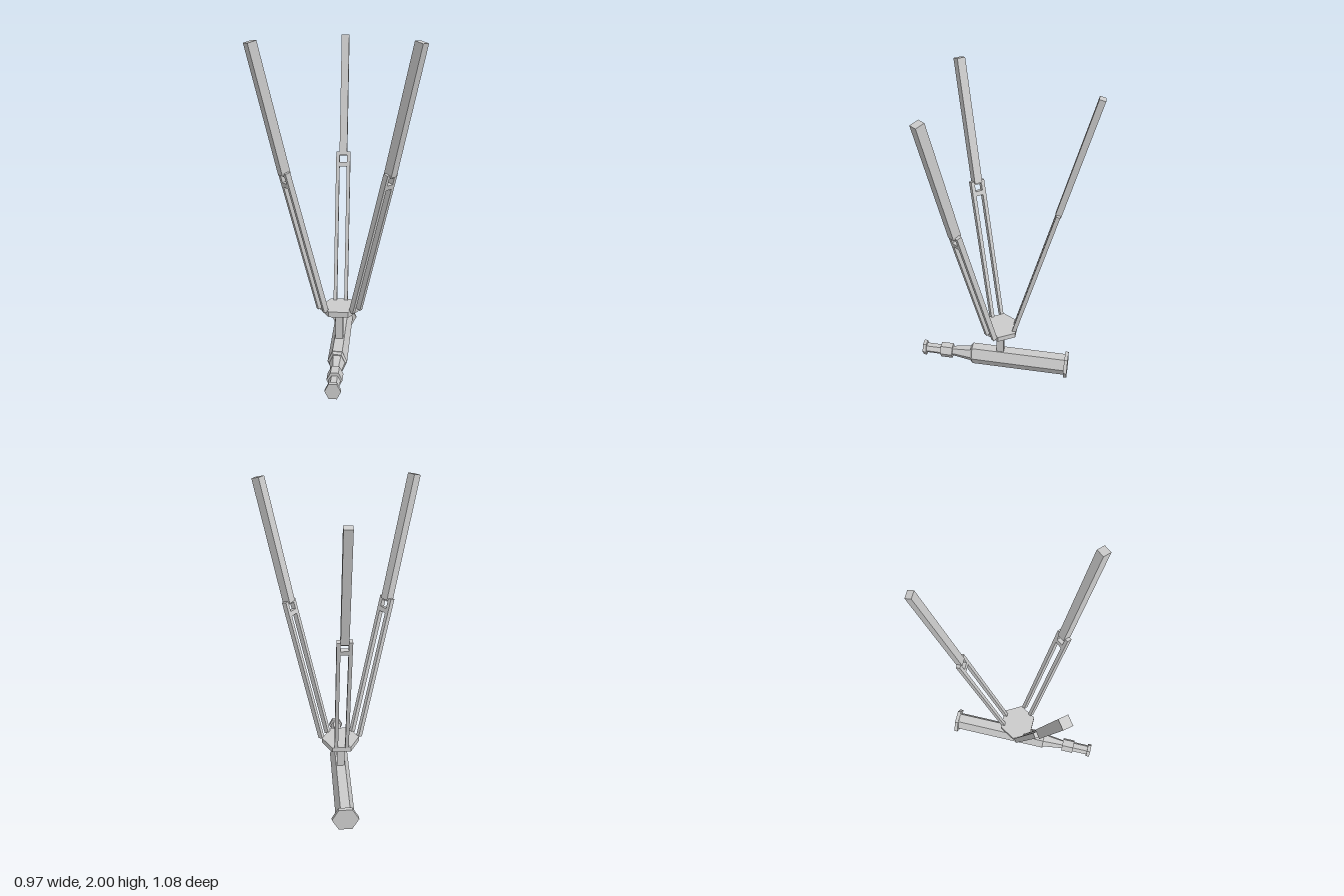
import * as THREE from 'three';

const V = (x, y, z) => new THREE.Vector3(x, y, z);

export function createModel() {
  const model = new THREE.Group();
  const mat = new THREE.MeshStandardMaterial({ color: 0xcccccc, flatShading: true });

  const add = (name, geometry, parent = model) => {
    const mesh = new THREE.Mesh(geometry, mat);
    mesh.name = name;
    parent.add(mesh);
    return mesh;
  };

  // Six-sided barrel section along z, corners pointing sideways, stretched in y
  const section = (name, z0, z1, rBack, rFront, stretch, y = 0.078) => {
    const g = new THREE.CylinderGeometry(rFront, rBack, z1 - z0, 6);
    g.rotateY(Math.PI / 6).rotateX(Math.PI / 2).scale(1, stretch, 1);
    add(name, g).position.set(0, y, (z0 + z1) / 2);
  };
  section('frontFlange', -0.45, -0.428, 0.085, 0.085, 1.08, 0.08);
  section('mainTube', -0.43, 0.2, 0.06, 0.06, 1.31, 0.08);
  section('tubeShoulder', 0.2, 0.213, 0.06, 0.048, 1.25, 0.08);
  section('taperedNeck', 0.21, 0.34, 0.048, 0.03, 1.15);
  section('focusRing', 0.34, 0.42, 0.047, 0.047, 1.15);
  section('eyepieceTube', 0.42, 0.525, 0.035, 0.035, 0.95);
  section('eyepieceCap', 0.522, 0.545, 0.047, 0.047, 1.15);

  // Post and hexagonal hub
  add('post', new THREE.BoxGeometry(0.047, 0.22, 0.047)).position.set(0, 0.235, 0.007);
  const hub = new THREE.CylinderGeometry(0.12, 0.12, 0.035, 6).rotateY(Math.PI / 6);
  add('hub', hub).position.set(0, 0.348, 0.004);

  // Straight square-ended bar between two points, its width running along side
  const bar = (name, a, b, side, width, depth, parent) => {
    const dir = b.clone().sub(a);
    const length = dir.length();
    dir.normalize();
    const mesh = add(name, new THREE.BoxGeometry(width, length, depth), parent);
    const basis = new THREE.Matrix4().makeBasis(side, dir, side.clone().cross(dir));
    mesh.quaternion.setFromRotationMatrix(basis);
    mesh.position.copy(a).add(b).multiplyScalar(0.5);
  };

  // Leg: twin rails joined by two cross bars, then a single solid bar
  const leg = (name, base, joint, tip, railDepth, width, depth) => {
    const group = new THREE.Group();
    group.name = name;
    model.add(group);
    const run = tip.clone().sub(base);
    const side = V(run.z, 0, -run.x).normalize();
    const up = joint.clone().sub(base).normalize();
    for (const s of [-1, 1]) {
      const offset = side.clone().multiplyScalar(s * 0.034);
      bar('rail', base.clone().add(offset), joint.clone().add(offset), side, 0.022, railDepth, group);
    }
    for (const [from, to] of [[0.095, 0.066], [0.022, 0]]) {
      bar('crossBar', joint.clone().addScaledVector(up, -from),
        joint.clone().addScaledVector(up, -to), side, 0.05, railDepth, group);
    }
    bar('upperBar', joint.clone().addScaledVector(up, -0.012), tip, side, width, depth, group);
  };
  leg('rearLeg', V(0, 0.355, -0.086), V(0, 1.28, -0.333), V(0, 1.995, -0.522), 0.025, 0.048, 0.036);
  for (const s of [-1, 1]) {
    leg(s > 0 ? 'leftLeg' : 'rightLeg', V(s * 0.102, 0.355, 0.053), V(s * 0.302, 1.27, 0.212),
      V(s * 0.447, 1.993, 0.329), 0.032, 0.05, 0.055);
  }

  return model;
}
